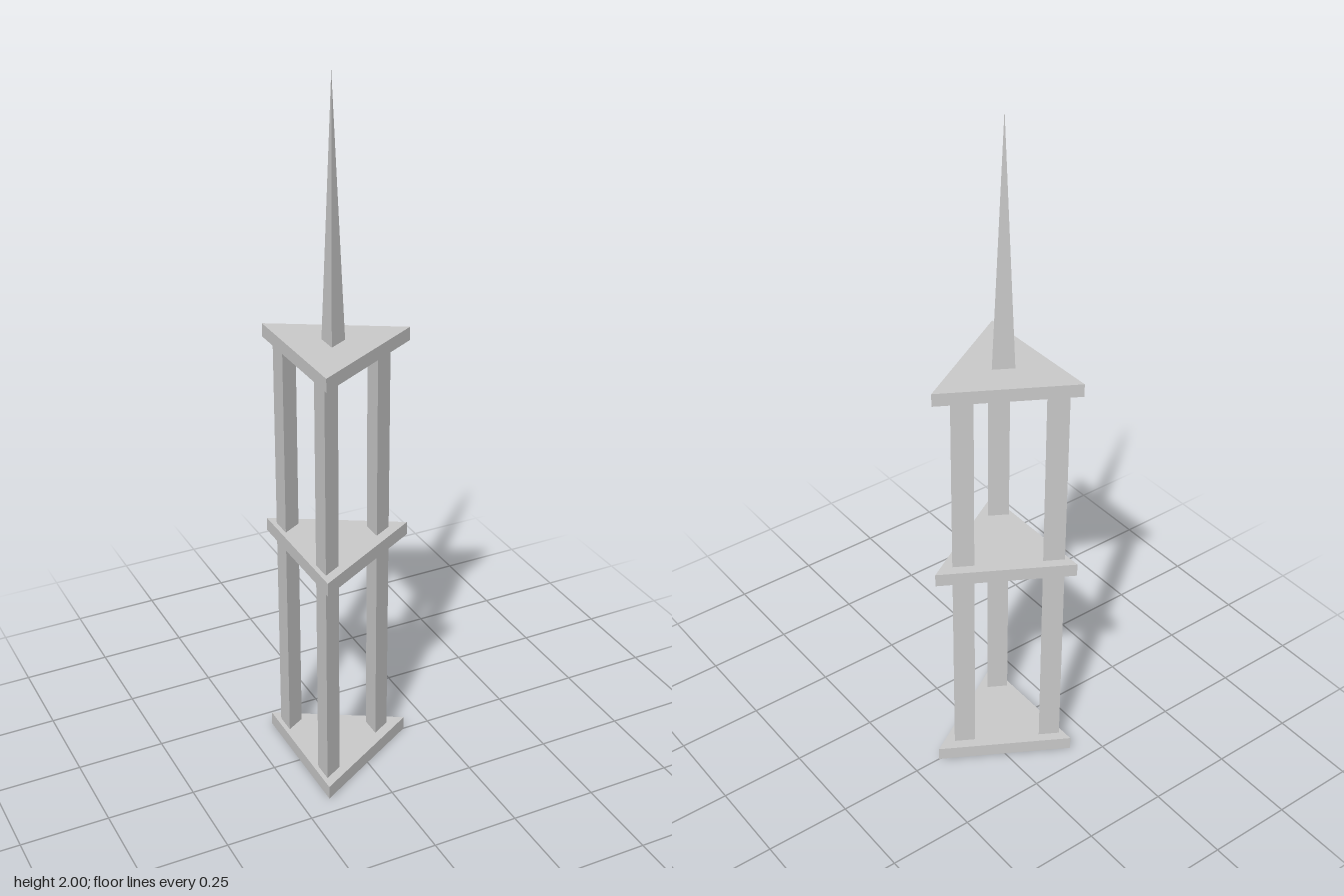
import * as THREE from 'three';

const material = new THREE.MeshStandardMaterial({ color: 0xcccccc, flatShading: true });

// Three-sided upright prism (or pyramid) with one corner pointing to +x
function addPrism(group, name, topRadius, radius, x, z, y0, y1) {
  const geometry = new THREE.CylinderGeometry(topRadius, radius, y1 - y0, 3, 1, false, Math.PI / 2);
  const mesh = new THREE.Mesh(geometry, material);
  mesh.name = name;
  mesh.position.set(x, (y0 + y1) / 2, z);
  group.add(mesh);
}

export function createModel() {
  const group = new THREE.Group();
  group.name = 'triangularTower';
  const centreX = -0.0565;

  // Triangular floors
  const floors = [['baseFloor', 0, 0.04], ['middleFloor', 0.664, 0.703], ['topFloor', 1.254, 1.292]];
  for (const [name, y0, y1] of floors) addPrism(group, name, 0.226, 0.226, centreX, 0, y0, y1);

  // Full-height corner pillars, ends set into the floors
  const pillars = [['leftPillar', 0.077, 0], ['frontPillar', -0.139, 0.127], ['backPillar', -0.139, -0.127]];
  for (const [name, x, z] of pillars) addPrism(group, name, 0.035, 0.035, x, z, 0.01, 1.28);

  // Slender spire
  addPrism(group, 'spire', 0, 0.037, centreX, 0, 1.26, 2);

  return group;
}
